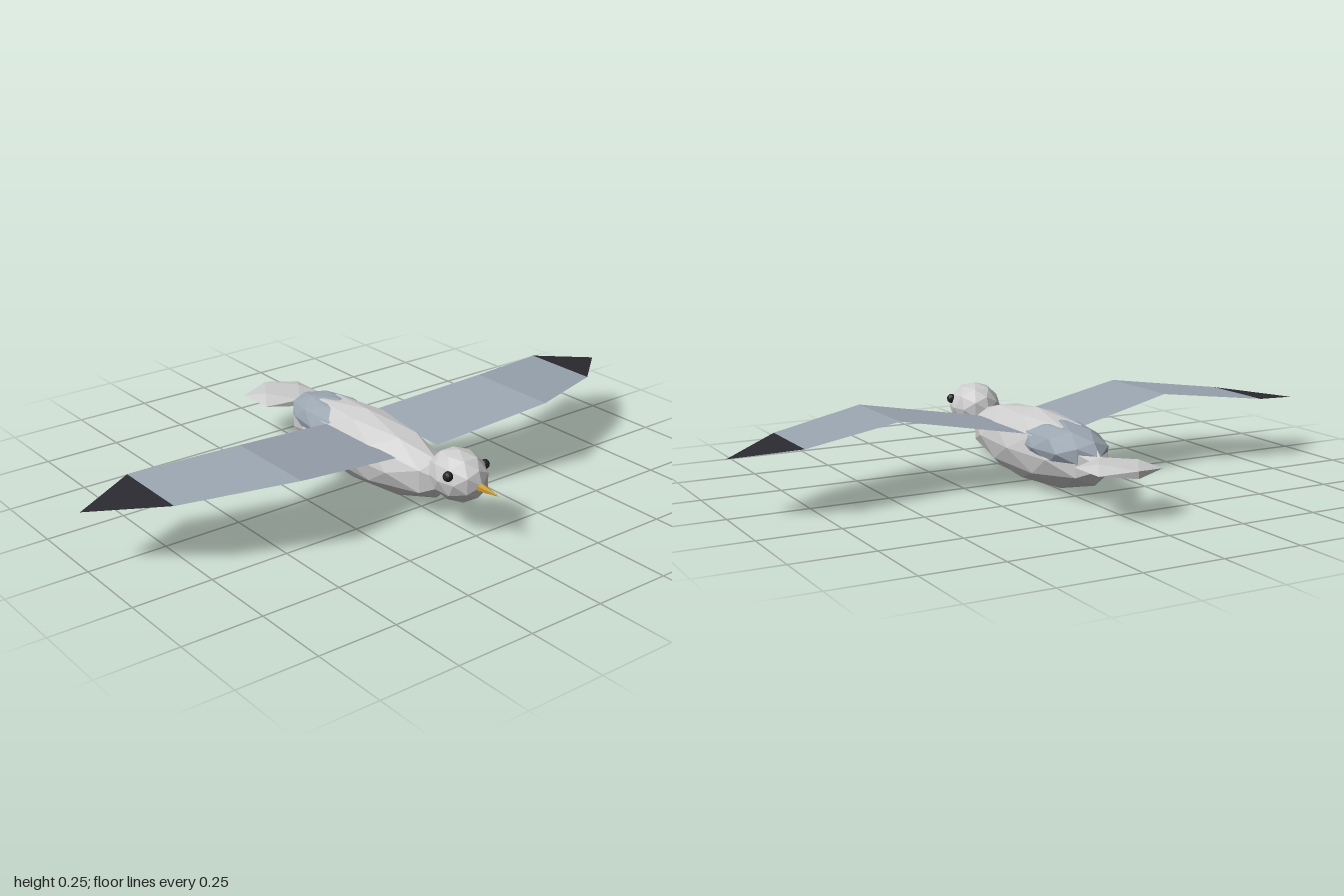
import * as THREE from 'three';

const mat = (color, side = THREE.FrontSide) =>
  new THREE.MeshStandardMaterial({ color, flatShading: true, side });

const grey = mat(0xcccccc);
const slate = mat(0x9aa5b0);
const dark = mat(0x222226);
const gold = mat(0xc8962c);
const wingGrey = mat(0x9aa5b0, THREE.DoubleSide);
const tipDark = mat(0x2a2a30, THREE.DoubleSide);

// Faceted ellipsoid
function blob(name, material, detail, radii, position) {
  const geometry = new THREE.IcosahedronGeometry(1, detail).scale(...radii);
  const mesh = new THREE.Mesh(geometry, material);
  mesh.name = name;
  mesh.position.set(...position);
  return mesh;
}

// Thin wing surface through stations [x, y, zFront, zBack]
function panel(name, material, stations, side) {
  const points = [];
  const index = [];
  stations.forEach(([x, y, front, back], i) => {
    points.push(side * x, y, front, side * x, y, back);
    if (i === 0) return;
    const a = 2 * i - 2;
    const quad = side > 0
      ? [a, a + 2, a + 1, a + 1, a + 2, a + 3]
      : [a, a + 1, a + 2, a + 1, a + 3, a + 2];
    // A pointed end needs only the first triangle
    index.push(...(front === back ? quad.slice(0, 3) : quad));
  });
  const geometry = new THREE.BufferGeometry();
  geometry.setAttribute('position', new THREE.Float32BufferAttribute(points, 3));
  geometry.setIndex(index);
  geometry.computeVertexNormals();
  const mesh = new THREE.Mesh(geometry, material);
  mesh.name = name;
  return mesh;
}

export function createModel() {
  const bird = new THREE.Group();
  bird.name = 'bird';

  // Body, back patch, head and tail
  bird.add(
    blob('body', grey, 1, [0.112, 0.117, 0.4], [0, 0.117, -0.02]),
    blob('mantle', slate, 1, [0.107, 0.075, 0.22], [0, 0.145, -0.17]),
    blob('head', grey, 1, [0.08, 0.08, 0.104], [0, 0.168, 0.416]),
    blob('tail', grey, 0, [0.127, 0.021, 0.123], [0, 0.136, -0.49])
  );

  // Beak
  const beak = new THREE.Mesh(
    new THREE.ConeGeometry(0.018, 0.1, 6).rotateX(Math.PI / 2), gold);
  beak.name = 'beak';
  beak.position.set(0, 0.162, 0.543);
  bird.add(beak);

  // Eyes and wings, mirrored
  const root = [0.08, 0.174, 0.225, -0.115];
  const elbow = [0.47, 0.235, 0.29, -0.025];
  const wrist = [0.8, 0.203, 0.152, -0.11];
  const tip = [1, 0.178, -0.018, -0.018];
  for (const side of [1, -1]) {
    const label = side > 0 ? 'left' : 'right';
    bird.add(blob(label + 'Eye', dark, 1, [0.016, 0.016, 0.016], [side * 0.07, 0.193, 0.45]));

    const wing = new THREE.Group();
    wing.name = label + 'Wing';
    wing.add(
      panel('wingPanel', wingGrey, [root, elbow, wrist], side),
      panel('wingTip', tipDark, [wrist, tip], side)
    );
    bird.add(wing);
  }
  return bird;
}
